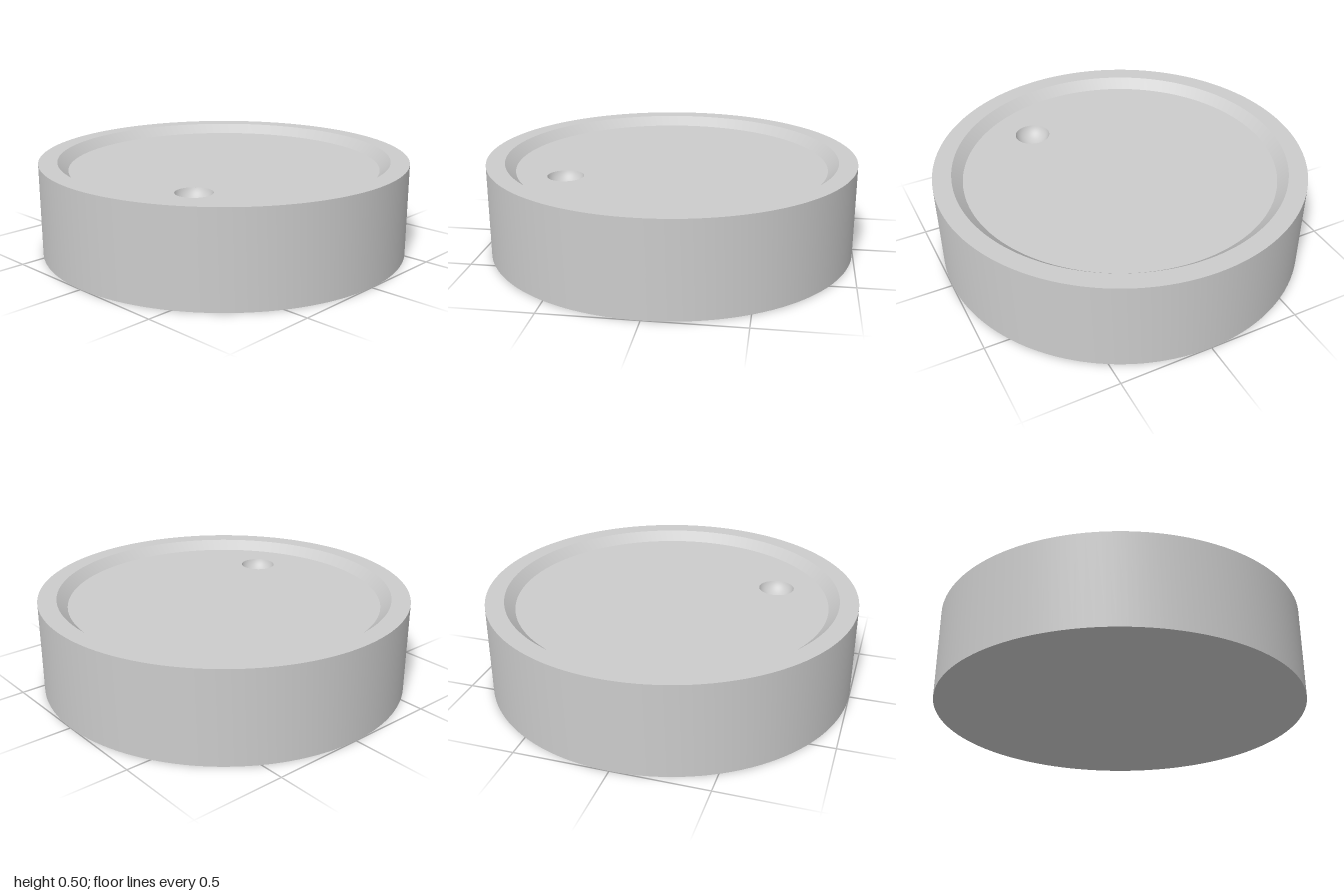
import * as THREE from 'three';
import { toCreasedNormals } from 'three/addons/utils/BufferGeometryUtils.js';

const SEGMENTS = 128;
const HEIGHT = 0.5, FLOOR_Y = 0.45;
const RIM_INNER = 0.9, FLOOR_RADIUS = 0.845;
const DIMPLE = { x: 0.3, z: 0.52, radius: 0.096, sphere: 0.1 };

export function createModel() {
  const group = new THREE.Group();
  const material = new THREE.MeshStandardMaterial({ color: 0xcccccc });
  const add = (name, geometry) => {
    const mesh = new THREE.Mesh(geometry, material);
    mesh.name = name;
    group.add(mesh);
    return mesh;
  };

  // Underside, outer wall, flat rim and sloped inner edge
  const profile = [
    [0, 0], [1, 0], [1, HEIGHT], [RIM_INNER, HEIGHT], [FLOOR_RADIUS, FLOOR_Y],
  ].map(([r, y]) => new THREE.Vector2(r, y));
  add('discBody', toCreasedNormals(new THREE.LatheGeometry(profile, SEGMENTS), 0.5));

  // Recessed floor with a round opening for the dimple
  const floor = new THREE.Shape().absarc(0, 0, FLOOR_RADIUS, 0, Math.PI * 2);
  floor.holes.push(new THREE.Path().absarc(DIMPLE.x, -DIMPLE.z, DIMPLE.radius, 0, Math.PI * 2, true));
  const floorGeometry = new THREE.ShapeGeometry(floor, SEGMENTS).rotateX(-Math.PI / 2);
  add('recessedFloor', floorGeometry).position.y = FLOOR_Y;

  // Spherical finger dimple, from its edge down to the centre
  const rimAngle = Math.asin(DIMPLE.radius / DIMPLE.sphere);
  const bowl = [];
  for (let i = 0; i <= 16; i++) {
    const a = rimAngle * (1 - i / 16);
    bowl.push(new THREE.Vector2(
      DIMPLE.sphere * Math.sin(a),
      DIMPLE.sphere * (Math.cos(rimAngle) - Math.cos(a)),
    ));
  }
  add('fingerDimple', new THREE.LatheGeometry(bowl, SEGMENTS))
    .position.set(DIMPLE.x, FLOOR_Y, DIMPLE.z);

  return group;
}
